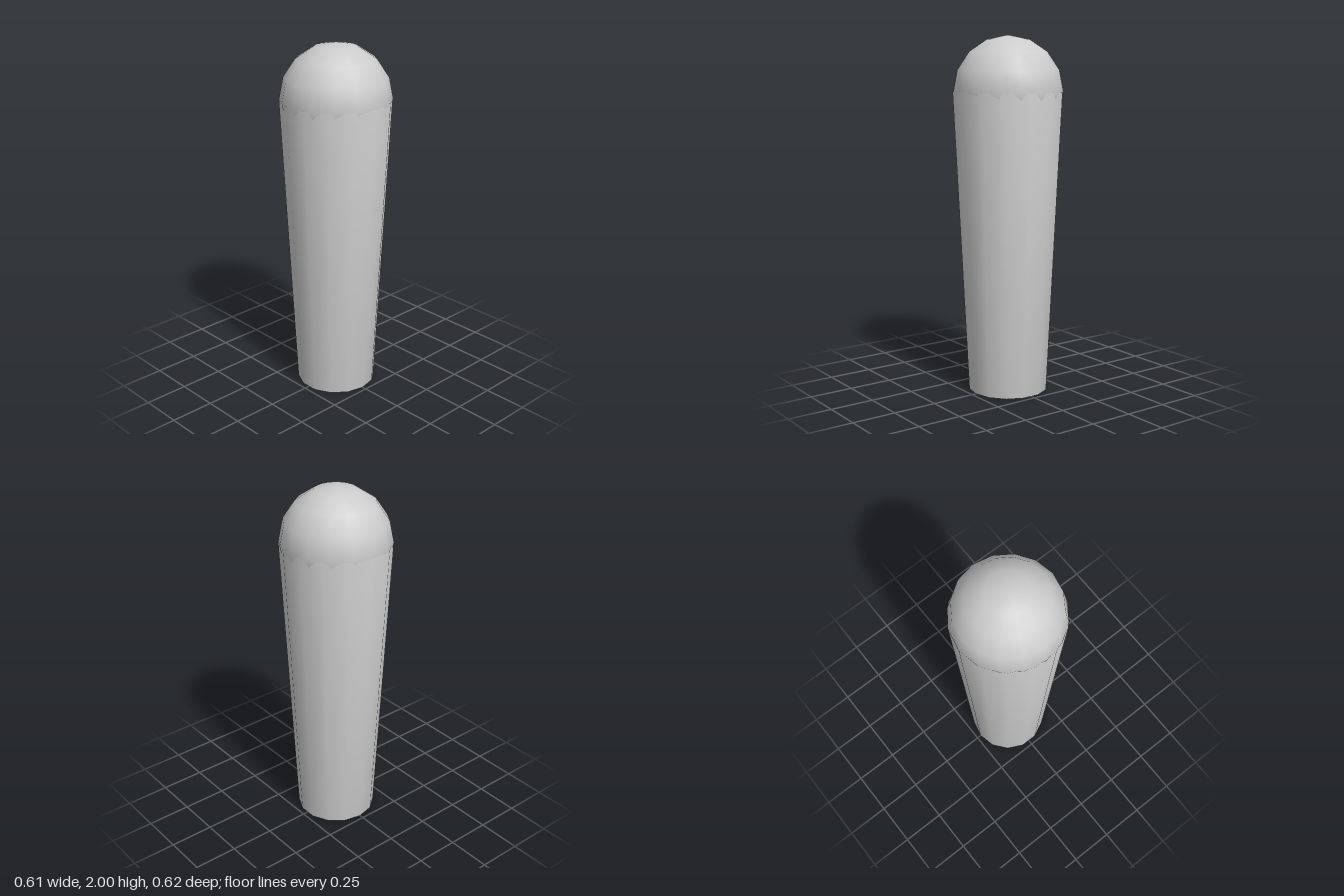
import * as THREE from 'three';
import { mergeVertices } from 'three/addons/utils/BufferGeometryUtils.js';

const RADIUS = 0.307;
const JOIN_Y = 2 - RADIUS; // centre of the ball and top of the shaft

// Weld seams and caps so the shading runs smoothly over the rims
function weld(geometry) {
  geometry.deleteAttribute('uv');
  geometry.deleteAttribute('normal');
  const welded = mergeVertices(geometry, 1e-4);
  welded.computeVertexNormals();
  return welded;
}

export function createModel() {
  const group = new THREE.Group();
  group.name = 'roundedPost';

  const grey = new THREE.MeshStandardMaterial({ color: 0xcccccc });
  grey.name = 'light grey';

  // Tapered shaft, narrow end on the ground
  const shaft = new THREE.Mesh(
    weld(new THREE.CylinderGeometry(RADIUS + 0.001, 0.225, JOIN_Y, 14)), grey);
  shaft.name = 'shaft';
  shaft.position.y = JOIN_Y / 2;

  // Ball set into the wide end
  const ball = new THREE.Mesh(new THREE.SphereGeometry(RADIUS, 16, 8), grey);
  ball.name = 'roundTop';
  ball.position.y = JOIN_Y;

  group.add(shaft, ball);
  return group;
}
